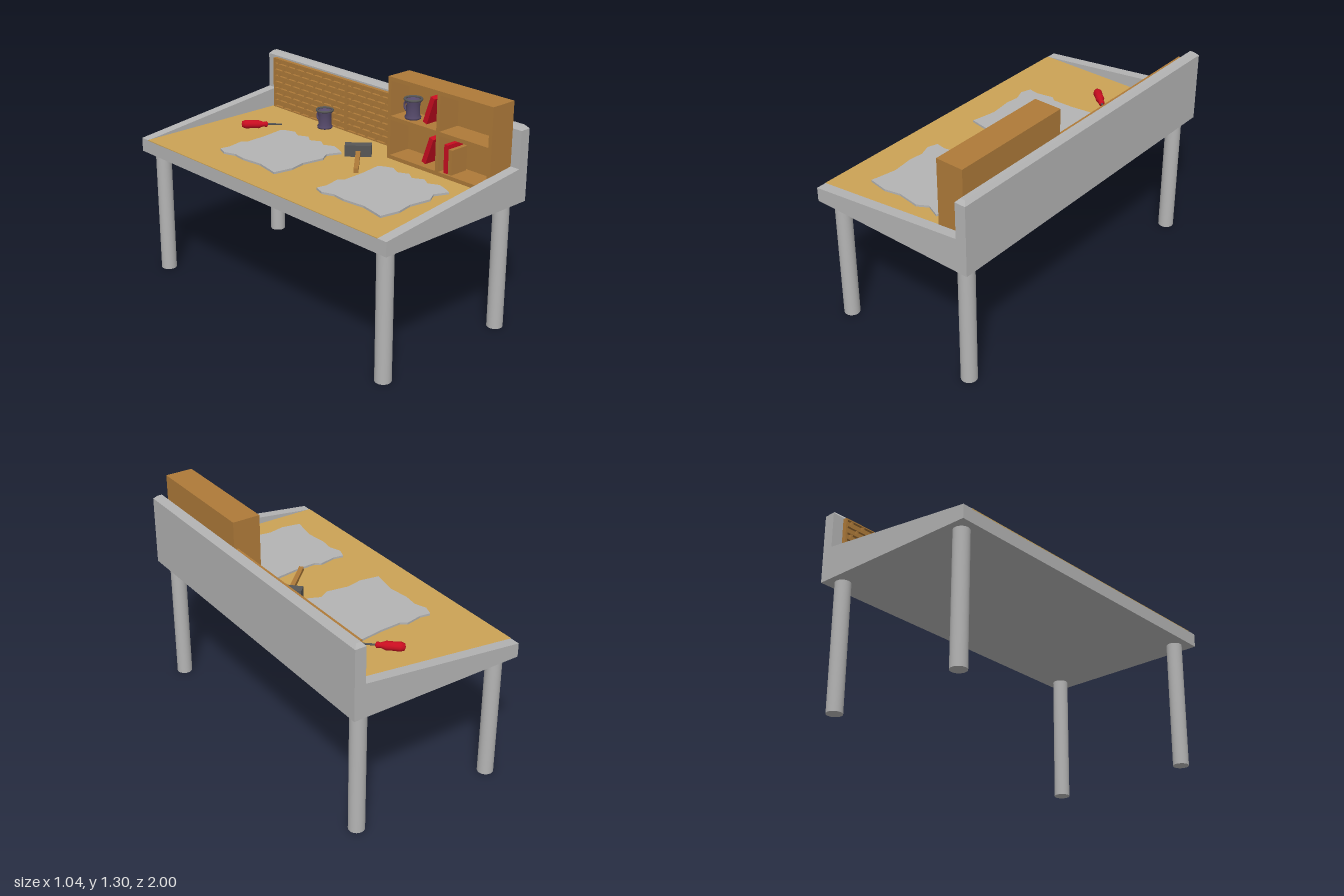
import * as THREE from 'three';

const paint = (name, color) => {
  const m = new THREE.MeshStandardMaterial({ color });
  m.name = name;
  return m;
};

export function createModel() {
  const grey = paint('painted grey', 0xb4b4b4);
  const ply = paint('light wood', 0xcba355);
  const oak = paint('brown wood', 0xae7a39);
  const red = paint('red', 0xc80d20);
  const purple = paint('purple glaze', 0x564a6b);
  const steel = paint('dark steel', 0x565656);
  const model = new THREE.Group();

  const add = (name, geo, mat, parent = model) => {
    const m = new THREE.Mesh(geo, mat);
    m.name = name;
    parent.add(m);
    return m;
  };
  // Box given by its low and high limits on each axis
  const box = (name, mat, [x0, x1], [y0, y1], [z0, z1], parent = model) => {
    const m = add(name, new THREE.BoxGeometry(x1 - x0, y1 - y0, z1 - z0), mat, parent);
    m.position.set((x0 + x1) / 2, (y0 + y1) / 2, (z0 + z1) / 2);
    return m;
  };
  const group = (name) => {
    const g = new THREE.Group();
    g.name = name;
    model.add(g);
    return g;
  };

  // Legs
  for (const x of [-0.432, 0.437]) for (const z of [-0.918, 0.91]) {
    add('leg', new THREE.CylinderGeometry(0.045, 0.045, 0.75, 32), grey).position.set(x, 0.375, z);
  }

  // Bench body, worktop and back wall
  const deck = 0.827;
  box('benchBody', grey, [-0.52, 0.455], [0.745, 0.823], [-0.94, 0.94]);
  box('worktop', ply, [-0.52, 0.455], [0.82, deck], [-0.94, 0.94]);
  box('backWall', grey, [0.455, 0.52], [0.745, 1.15], [-1, 1]);

  // Chamfered cap on the back wall
  const capGeo = new THREE.BoxGeometry(0.065, 0.02, 2);
  const p = capGeo.attributes.position;
  for (let i = 0; i < p.count; i++) if (p.getY(i) > 0) {
    p.setX(i, p.getX(i) * 0.45);
    p.setZ(i, p.getZ(i) * 0.98);
  }
  capGeo.computeVertexNormals();
  add('wallCap', capGeo, grey).position.set(0.4875, 1.16, 0);

  // Sloping side rails
  const railShape = new THREE.Shape([[-0.52, 0.745], [0.455, 0.745], [0.455, 0.94], [-0.52, 0.825]]
    .map(([x, y]) => new THREE.Vector2(x, y)));
  const railGeo = new THREE.ExtrudeGeometry(railShape, { depth: 0.06, bevelEnabled: false });
  for (const z of [-1, 0.94]) add('sideRail', railGeo, grey).position.z = z;

  // Two slatted tool panels with staggered uprights
  for (const [z0, z1] of [[-0.93, -0.28], [-0.28, 0.2]]) {
    const panel = group('slatPanel');
    const top = 1.14, rows = 8, step = (top - deck) / rows;
    box('panelBack', oak, [0.446, 0.456], [deck, top], [z0, z1], panel);
    for (let r = 0; r <= rows; r++) {
      const y = deck + r * step;
      box('slat', oak, [0.43, 0.447], [Math.max(deck, y - 0.007), Math.min(top, y + 0.007)], [z0, z1], panel);
      if (r === rows) break;
      for (let z = z0 + (r % 2 ? 0.04 : 0.08); z < z1 - 0.02; z += 0.08) {
        box('upright', oak, [0.432, 0.447], [y, y + step], [z, z + 0.014], panel);
      }
    }
    for (const z of [z0, z1 - 0.012]) box('panelEdge', oak, [0.429, 0.447], [deck, top], [z, z + 0.012], panel);
  }

  // Bookcase, open toward the worker
  const shelf = group('bookcase');
  const X = [0.292, 0.455];
  box('caseBack', oak, [0.438, 0.455], [deck, 1.3], [0.2, 0.942], shelf);
  for (const y of [deck, 1.055, 1.278]) box('board', oak, X, [y, y + 0.022], [0.2, 0.942], shelf);
  for (const z of [0.2, 0.56, 0.92]) box('caseUpright', oak, X, [deck, 1.3], [z, z + 0.022], shelf);

  // Books
  for (const y of [0.942, 1.17]) {
    const b = box('leaningBook', red, [0.305, 0.425], [y - 0.08, y + 0.08], [0.475, 0.505]);
    b.rotation.x = 0.33;
  }
  box('redBook', red, [0.305, 0.425], [0.849, 1.01], [0.61, 0.635]);
  box('brownBook', oak, [0.305, 0.425], [0.849, 0.99], [0.642, 0.667]);

  // Mugs: waisted body, dark rim and a thin handle
  const mugProfile = [[0, 0], [0.044, 0], [0.046, 0.01], [0.038, 0.022], [0.038, 0.085], [0.052, 0.11], [0.044, 0.112], [0.032, 0.085], [0, 0.08]]
    .map(([x, y]) => new THREE.Vector2(x, y));
  for (const [x, y, z] of [[0.385, deck, -0.412], [0.355, 1.077, 0.33]]) {
    const mug = group('mug');
    mug.position.set(x, y, z);
    add('mugBody', new THREE.LatheGeometry(mugProfile, 24), purple, mug);
    const rim = add('mugRim', new THREE.TorusGeometry(0.047, 0.007, 8, 24), steel, mug);
    rim.rotation.x = Math.PI / 2;
    rim.position.y = 0.11;
    const handle = add('mugHandle', new THREE.TorusGeometry(0.03, 0.006, 8, 16, Math.PI), purple, mug);
    handle.rotation.set(0, Math.PI / 2, Math.PI / 2, 'YXZ');
    handle.rotation.set(0, Math.PI / 2, -Math.PI / 2);
    handle.rotation.set(0, Math.PI / 2, 0);
    handle.geometry.rotateZ(-Math.PI / 2);
    handle.position.set(0, 0.06, -0.036);
  }

  // Hammer
  const hammer = group('hammer');
  hammer.position.set(0.2, deck, 0.065);
  hammer.rotation.y = -0.81;
  box('hammerHead', steel, [-0.075, 0.075], [0, 0.066], [-0.028, 0.028], hammer);
  box('hammerHandle', oak, [-0.013, 0.013], [0.012, 0.036], [0.02, 0.305], hammer);

  // Screwdriver, built along +x
  const driver = group('screwdriver');
  driver.position.set(0.01, deck + 0.026, -0.735);
  driver.rotation.y = -0.75;
  const grip = [[0, 0], [0.018, 0.004], [0.026, 0.025], [0.024, 0.07], [0.025, 0.1], [0.014, 0.13], [0.018, 0.15], [0, 0.16]]
    .map(([x, y]) => new THREE.Vector2(x, y));
  add('grip', new THREE.LatheGeometry(grip, 12), red, driver).rotation.z = -Math.PI / 2;
  const shaft = add('shaft', new THREE.CylinderGeometry(0.005, 0.006, 0.09, 10), steel, driver);
  shaft.rotation.z = -Math.PI / 2;
  shaft.position.x = 0.195;

  // Ragged sheets lying on the worktop
  const outline = [[-0.32, -0.52], [-0.26, -0.51], [-0.16, -0.53], [-0.13, -0.505], [0, -0.51], [0.14, -0.53],
    [0.16, -0.5], [0.18, -0.45], [0.15, -0.39], [0.18, -0.33], [0.145, -0.28], [0.18, -0.22], [0.15, -0.17],
    [0.18, -0.11], [0.16, -0.05], [0.14, -0.01], [0.06, -0.045], [0, -0.01], [-0.13, -0.03], [-0.225, -0.01],
    [-0.34, -0.03], [-0.33, -0.075], [-0.31, -0.18], [-0.325, -0.31], [-0.315, -0.39], [-0.34, -0.46]];
  const sheetGeo = new THREE.ExtrudeGeometry(
    new THREE.Shape(outline.map(([x, z]) => new THREE.Vector2(x, -z))), { depth: 0.012, bevelEnabled: false });
  sheetGeo.rotateX(-Math.PI / 2);
  for (const z of [0, 0.81]) add('sheet', sheetGeo, grey).position.set(0, deck, z);

  return model;
}
